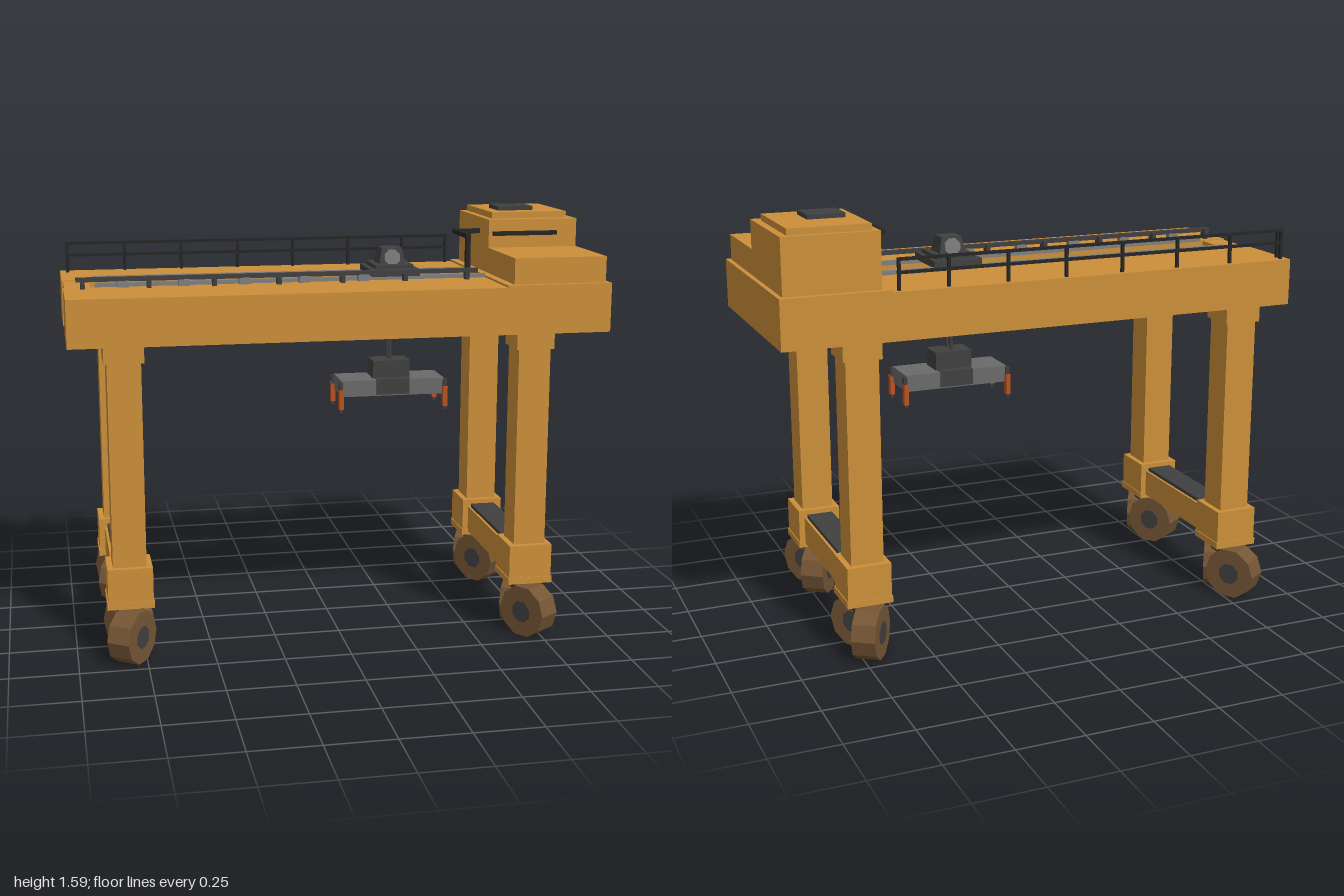
import * as THREE from 'three';

const mat = (name, color) => {
  const m = new THREE.MeshStandardMaterial({ color });
  m.name = name;
  return m;
};

export function createModel() {
  const paint = mat('ochre paint', 0xcc8f3a);
  const tyre = mat('brown tyre', 0x755635);
  const dark = mat('dark grey metal', 0x404040);
  const black = mat('black pipe', 0x262626);
  const grey = mat('mid grey metal', 0x6a6a6a);
  const steel = mat('light steel', 0x808080);
  const rust = mat('rust red', 0xba5224);

  const root = new THREE.Group();
  root.name = 'gantryCrane';
  const group = (name) => {
    const g = new THREE.Group();
    g.name = name;
    root.add(g);
    return g;
  };
  const add = (parent, name, geo, material, x = 0, y = 0, z = 0) => {
    const m = new THREE.Mesh(geo, material);
    m.name = name;
    m.position.set(x, y, z);
    parent.add(m);
    return m;
  };
  // Box given by its limits on each axis
  const box = (parent, name, material, [x0, x1], [y0, y1], [z0, z1]) =>
    add(parent, name, new THREE.BoxGeometry(x1 - x0, y1 - y0, z1 - z0), material,
      (x0 + x1) / 2, (y0 + y1) / 2, (z0 + z1) / 2);
  const around = (c, w) => [c - w / 2, c + w / 2];
  // Prism with flat-shaded facets (normals are split per face)
  const prism = (r0, r1, h, n, turn = 0) => {
    const g = new THREE.CylinderGeometry(r0, r1, h, n, 1, false, turn).toNonIndexed();
    g.computeVertexNormals();
    return g;
  };

  // Top frame: two main girders, an end tie and the machinery head
  const frame = group('topFrame');
  for (const s of [-1, 1]) {
    box(frame, 'mainGirder', paint, [-1, 0.6], [1.165, 1.34], around(s * 0.249, 0.302));
    box(frame, 'trolleyRail', steel, [-0.885, 0.6], [1.338, 1.355], around(s * 0.095, 0.016));
  }
  box(frame, 'endTie', paint, [-0.995, -0.9], [1.19, 1.337], [-0.099, 0.099]);
  box(frame, 'headFrame', paint, [0.6, 1], [1.165, 1.348], [-0.4, 0.4]);

  // Machinery house with raised rear cabin
  const house = group('machineryHouse');
  box(house, 'lowerHousing', paint, [0.63, 0.983], [1.345, 1.445], [-0.375, 0.38]);
  box(house, 'upperCabin', paint, [0.63, 0.983], [1.445, 1.553], [-0.375, 0.04]);
  box(house, 'roof', paint, [0.655, 0.955], [1.553, 1.577], [-0.355, -0.005]);
  box(house, 'roofHatch', dark, [0.7, 0.84], [1.577, 1.593], [-0.198, -0.073]);
  box(house, 'handBar', black, [0.645, 0.9], [1.492, 1.508], [0.04, 0.056]);

  // Pipe from the girder into the cabin
  const pipe = group('supplyPipe');
  box(pipe, 'pipeRiser', black, around(0.533, 0.018), [1.34, 1.507], around(0.088, 0.018));
  box(pipe, 'pipeCross', black, around(0.533, 0.018), [1.489, 1.507], [-0.098, 0.08]);
  box(pipe, 'pipeInlet', black, [0.533, 0.635], [1.489, 1.507], around(-0.089, 0.018));

  // Legs with collars, feet and wheel pairs
  const wheelTurn = Math.atan2(0.56, 0.83);
  for (const cx of [-0.803, 0.713]) {
    for (const s of [-1, 1]) {
      const leg = group('leg');
      const cz = s * 0.326;
      box(leg, 'legCollar', paint, around(cx, 0.144), [1.107, 1.167], around(cz, 0.144));
      box(leg, 'legColumn', paint, around(cx, 0.122), [0.34, 1.12], around(cz, 0.124));
      box(leg, 'legFoot', paint, around(cx, 0.165), [0.22, 0.352], around(cz, 0.168));
      box(leg, 'footFlange', paint, around(cx, 0.172), [0.2, 0.225], around(cz, 0.174));
      box(leg, 'wheelMount', dark, around(cx, 0.1), [0.165, 0.2], around(cz, 0.11));
      const outer = Math.sign(cx) * s;
      for (const [wz, dir] of [[0.405, 1], [0.268, -1]]) {
        const wheel = new THREE.Group();
        wheel.name = 'wheel';
        wheel.position.set(cx, 0.096, s * wz);
        wheel.rotation.y = outer * dir * wheelTurn;
        leg.add(wheel);
        add(wheel, 'tyre', prism(0.101, 0.101, 0.09, 10, Math.PI / 10 + Math.PI / 2), tyre).rotation.z = Math.PI / 2;
        add(wheel, 'hub', prism(0.043, 0.043, 0.096, 8, Math.PI / 8), dark).rotation.z = Math.PI / 2;
      }
    }
    const sill = group('sill');
    box(sill, 'sillBeam', paint, around(cx, 0.12), [0.215, 0.322], [-0.25, 0.25]);
    box(sill, 'sillWalkway', dark, around(cx, 0.1), [0.322, 0.336], [-0.236, 0.236]);
  }

  // Rear guard rail
  const rail = group('guardRail');
  for (const y of [1.403, 1.45])
    box(rail, 'railBar', black, [-0.975, 0.575], around(y, 0.011), around(-0.377, 0.011));
  for (const x of [-0.969, -0.745, -0.52, -0.293, -0.068, 0.16, 0.385, 0.569])
    box(rail, 'railPost', black, around(x, 0.011), [1.338, 1.45], around(-0.377, 0.011));
  box(rail, 'endPost', black, around(-0.972, 0.011), [1.338, 1.45], around(-0.347, 0.011));

  // Cable track on the front girder
  const track = group('cableTrack');
  box(track, 'trackBar', dark, [-0.955, 0.556], [1.367, 1.383], around(0.148, 0.018));
  for (let i = 0; i < 7; i++) {
    const x = -0.93 + i * 0.241;
    box(track, 'trackPost', dark, around(x, 0.016), [1.338, 1.38], [0.122, 0.155]);
  }
  for (let i = 0; i < 5; i++)
    box(track, 'cableCarrier', steel, around(-0.785 + i * 0.224, 0.042), [1.345, 1.369], around(0.148, 0.026));

  // Hoist trolley on the rails
  const hx = 0.247;
  const trolley = group('hoistTrolley');
  box(trolley, 'trolleyDeck', dark, around(hx, 0.188), [1.352, 1.378], [-0.108, 0.108]);
  box(trolley, 'deckPlate', dark, around(hx, 0.15), [1.378, 1.393], [-0.085, 0.085]);
  const hood = add(trolley, 'winchHood', prism(0.055, 0.072, 0.062, 4, Math.PI / 4), dark, hx, 1.422, 0);
  hood.scale.set(1, 1, 0.95);
  add(trolley, 'winchDrum', prism(0.032, 0.032, 0.104, 8, Math.PI / 8), steel, hx, 1.417, 0).rotation.x = Math.PI / 2;

  // Hoist ropes and load spreader
  const spreader = group('spreader');
  for (const s of [-1, 1])
    box(spreader, 'hoistRope', dark, around(hx, 0.01), [1, 1.36], around(s * 0.022, 0.01));
  box(spreader, 'headBlock', dark, around(hx, 0.145), [0.945, 1.017], [-0.05, 0.05]);
  box(spreader, 'spreaderBeam', grey, around(hx, 0.405), [0.885, 0.948], [-0.078, 0.078]);
  box(spreader, 'centrePanel', dark, around(hx, 0.13), [0.89, 0.951], [-0.082, 0.082]);
  for (const sx of [-1, 1]) {
    for (const sz of [-1, 1]) {
      const x = hx + sx * 0.206, z = sz * 0.083;
      box(spreader, 'cornerGuide', rust, around(x, 0.018), [0.838, 0.915], around(z, 0.024));
      box(spreader, 'guideArm', dark, around(x, 0.014), [0.91, 0.943], around(sz * 0.079, 0.018));
      box(spreader, 'guideTip', dark, around(x, 0.012), [0.825, 0.84], around(z, 0.014));
    }
  }
  return root;
}
